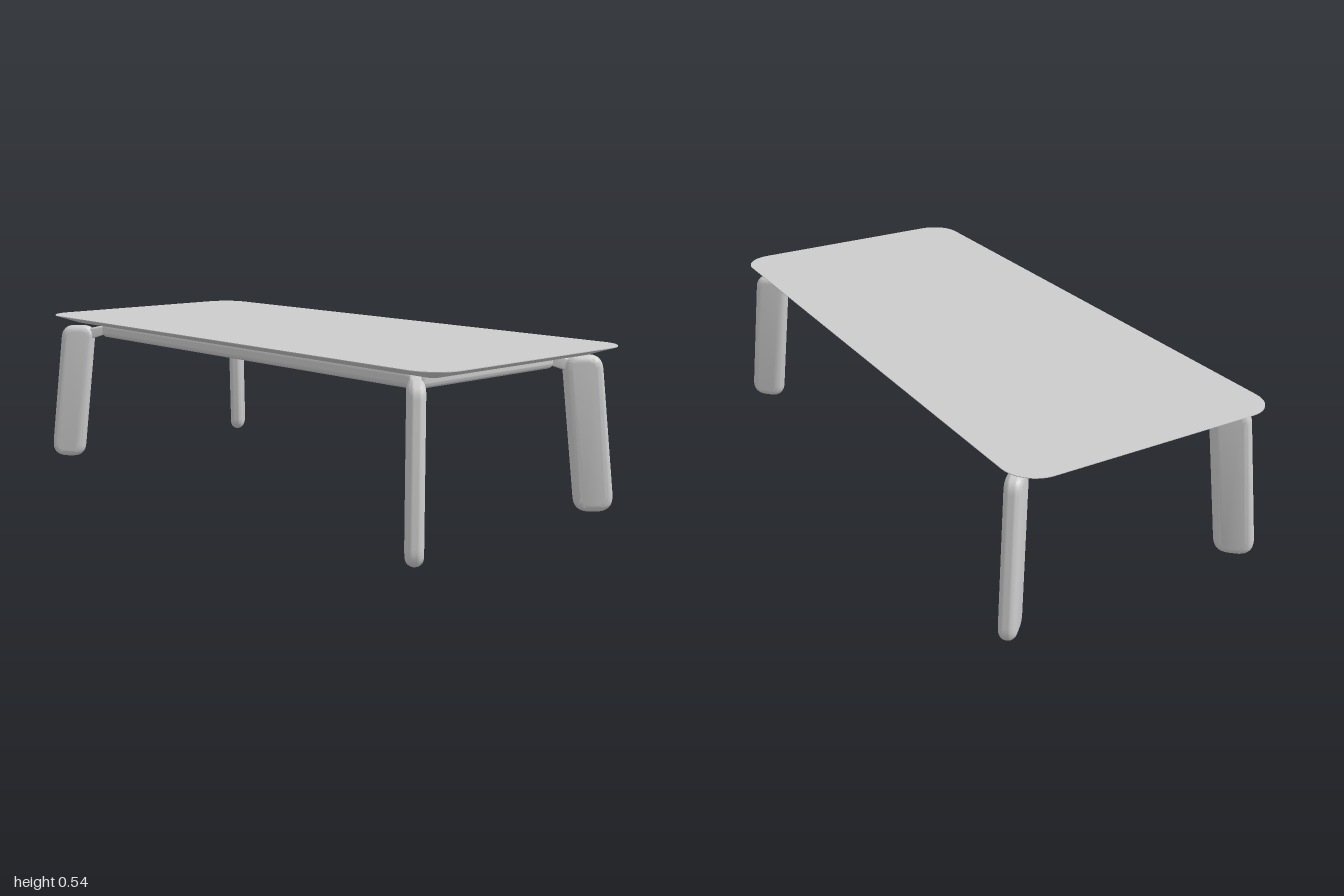
import * as THREE from 'three';
import { mergeVertices, toCreasedNormals } from 'three/addons/utils/BufferGeometryUtils.js';

const grey = new THREE.MeshStandardMaterial({ color: 0xcccccc });
grey.name = 'light grey';

// Closed polygon whose corners are softened; each point is [x, y, corner size]
function roundedShape(points, ShapeType = THREE.Shape) {
  const shape = new ShapeType();
  const n = points.length;
  points.forEach(([x, y, r], i) => {
    const p = new THREE.Vector2(x, y);
    const toward = (q) => new THREE.Vector2(q[0], q[1]).sub(p).setLength(r).add(p);
    const a = toward(points[(i + n - 1) % n]);
    const b = toward(points[(i + 1) % n]);
    if (i === 0) shape.moveTo(a.x, a.y);
    else shape.lineTo(a.x, a.y);
    shape.quadraticCurveTo(x, y, b.x, b.y);
  });
  shape.closePath();
  return shape;
}

// Solid of the given thickness, centred on z = 0, with edges rounded by r
function softSlab(shape, thickness, r) {
  const geo = new THREE.ExtrudeGeometry(shape, {
    depth: thickness - 2 * r, bevelThickness: r, bevelSize: r, bevelOffset: -r,
    bevelSegments: 6, curveSegments: 8,
  });
  geo.translate(0, 0, -(thickness - 2 * r) / 2);
  geo.deleteAttribute('uv');
  geo.deleteAttribute('normal');
  return toCreasedNormals(mergeVertices(geo, 1e-5), 0.6);
}

function addMesh(parent, name, geometry) {
  const mesh = new THREE.Mesh(geometry, grey);
  mesh.name = name;
  parent.add(mesh);
  return mesh;
}

// Ring of points around a rounded rectangle at height y
function rectRing(hx, hz, r, y, steps = 10) {
  const ring = [];
  const corners = [[1, 1], [-1, 1], [-1, -1], [1, -1]];
  corners.forEach(([sx, sz], c) => {
    for (let i = 0; i <= steps; i++) {
      const a = (c + i / steps) * Math.PI / 2;
      ring.push([sx * (hx - r) + r * Math.cos(a), y, sz * (hz - r) + r * Math.sin(a)]);
    }
  });
  return ring;
}

// Thin top with a sharp rim and a wide sloping underside
function tableTopGeometry() {
  const rings = [
    rectRing(0.915, 0.358, 0.025, 0.51),
    rectRing(1, 0.4425, 0.1, 0.538),
    rectRing(1, 0.4425, 0.1, 0.54),
  ];
  const n = rings[0].length;
  const pos = [];
  for (let i = 0; i < n; i++) {
    const j = (i + 1) % n;
    for (let k = 0; k < 2; k++) {
      const [lo, hi] = [rings[k], rings[k + 1]];
      pos.push(...lo[i], ...hi[i], ...hi[j], ...lo[i], ...hi[j], ...lo[j]);
    }
    pos.push(0, 0.54, 0, ...rings[2][j], ...rings[2][i]);
    pos.push(0, 0.51, 0, ...rings[0][i], ...rings[0][j]);
  }
  const geo = new THREE.BufferGeometry();
  geo.setAttribute('position', new THREE.Float32BufferAttribute(pos, 3));
  return toCreasedNormals(geo, 0.25);
}

// Rail ring with cut corners
function frameGeometry() {
  const [x, z, cut] = [0.825, 0.325, 0.035];
  const outer = roundedShape([
    [x - cut, -z, 0.01], [x, -z + cut, 0.01], [x, z - cut, 0.01], [x - cut, z, 0.01],
    [-x + cut, z, 0.01], [-x, z - cut, 0.01], [-x, -z + cut, 0.01], [-x + cut, -z, 0.01],
  ]);
  const [ix, iz] = [x - 0.05, z - 0.05];
  outer.holes.push(roundedShape(
    [[-ix, -iz, 0.01], [-ix, iz, 0.01], [ix, iz, 0.01], [ix, -iz, 0.01]], THREE.Path));
  return softSlab(outer, 0.052, 0.018).rotateX(Math.PI / 2);
}

export function createModel() {
  const model = new THREE.Group();
  model.name = 'lowTable';

  addMesh(model, 'tableTop', tableTopGeometry());

  const frame = new THREE.Group();
  frame.name = 'frame';
  model.add(frame);
  addMesh(frame, 'railRing', frameGeometry()).position.y = 0.487;

  // Two cross bars between the long rails
  const barProfile = roundedShape([
    [-0.025, -0.026, 0.018], [0.025, -0.026, 0.018], [0.025, 0.026, 0.018], [-0.025, 0.026, 0.018]]);
  const barGeo = toCreasedNormals(new THREE.ExtrudeGeometry(barProfile,
    { depth: 0.59, bevelEnabled: false, curveSegments: 8 }).translate(0, 0, -0.295), 0.6);
  for (const x of [-0.315, 0.315]) addMesh(frame, 'crossBar', barGeo).position.set(x, 0.487, 0);

  // Legs are flat, splayed slabs pointing outwards at the corners
  const legGeo = softSlab(roundedShape([
    [-0.034, 0, 0.045], [0.092, 0, 0.06], [0.034, 0.504, 0.045], [-0.092, 0.504, 0.05]]), 0.052, 0.025);
  const bracketGeo = softSlab(roundedShape([
    [-0.135, 0.472, 0.004], [-0.06, 0.448, 0.004], [-0.06, 0.49, 0.004], [-0.135, 0.506, 0.004]]), 0.034, 0.006);
  for (const sx of [-1, 1]) {
    for (const sz of [-1, 1]) {
      const corner = new THREE.Group();
      corner.name = (sz > 0 ? 'front' : 'back') + (sx > 0 ? 'Left' : 'Right') + 'Leg';
      corner.position.set(sx * 0.889, 0, sz * 0.395);
      corner.rotation.y = Math.atan2(-sz, sx);
      addMesh(corner, 'leg', legGeo);
      addMesh(corner, 'legBracket', bracketGeo);
      model.add(corner);
    }
  }
  return model;
}
